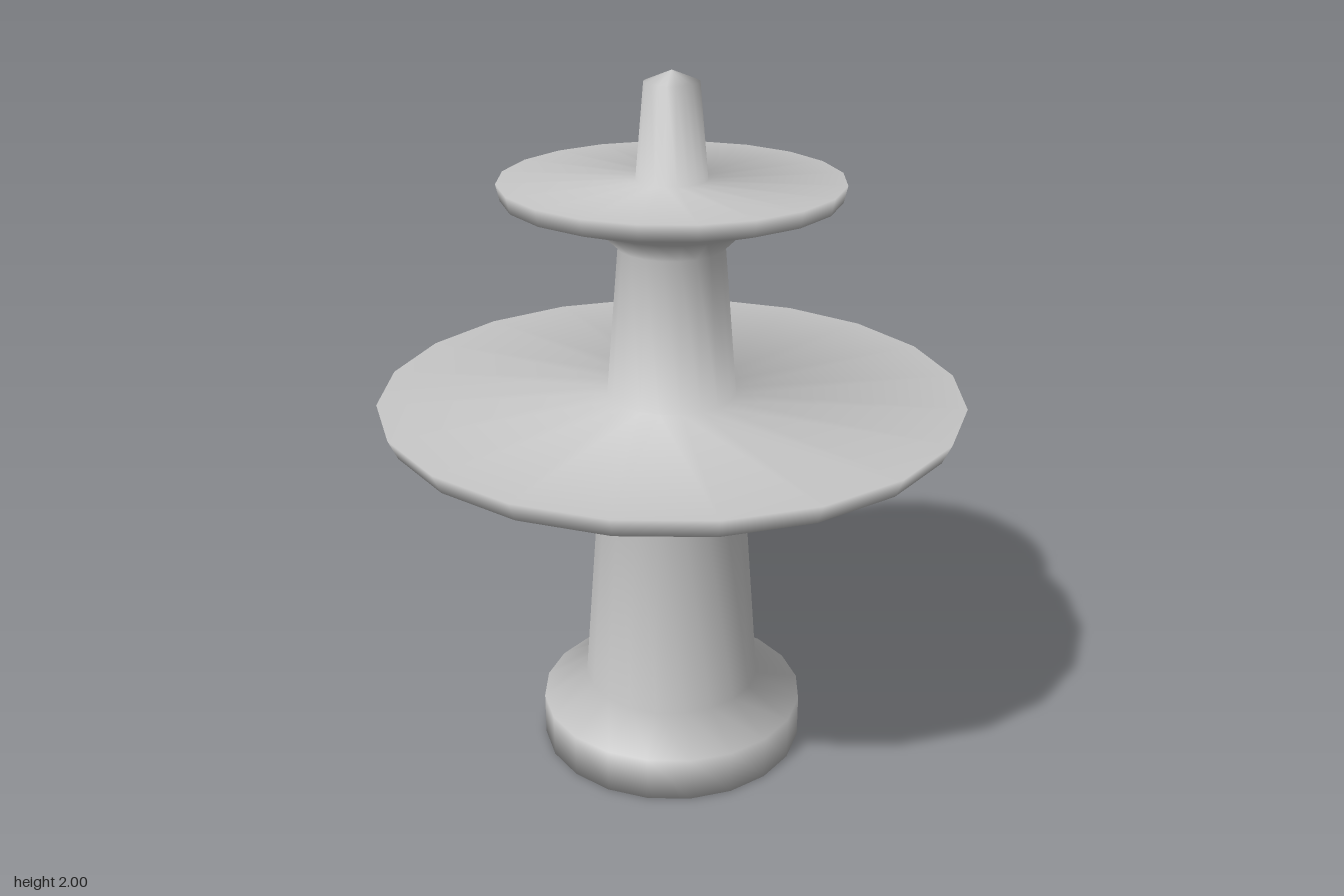
import * as THREE from 'three';

const SIDES = 20;

// Profile from the ground to the tip: [radius, height]
const PROFILE = [
  [0, 0], [0.39, 0], [0.39, 0.13], [0.26, 0.205],
  [0.212, 0.83], [0.29, 0.905], [0.795, 1.055], [0.82, 1.11], [0.183, 1.11],
  [0.148, 1.53], [0.21, 1.59], [0.457, 1.67], [0.467, 1.715], [0.098, 1.715],
  [0.075, 1.97], [0, 2],
];

// Each part covers a run of profile points, first to last
const PARTS = [
  ['base', 0, 3],
  ['lowerColumn', 3, 4],
  ['lowerBasin', 4, 8],
  ['middleColumn', 8, 9],
  ['upperBasin', 9, 13],
  ['finial', 13, 15],
];

export function createModel() {
  const group = new THREE.Group();
  group.name = 'tieredFountain';
  const stone = new THREE.MeshStandardMaterial({ color: 0xc4c4c4 });
  stone.name = 'grey stone';

  // One lathe, so the shading flows smoothly from part to part
  const lathe = new THREE.LatheGeometry(PROFILE.map(([r, y]) => new THREE.Vector2(r, y)), SIDES);
  const rows = PROFILE.length;

  for (const [name, first, last] of PARTS) {
    // Keep only the bands of the lathe that belong to this part
    const index = [];
    for (let side = 0; side < SIDES; side++) {
      for (let row = first; row < last; row++) {
        const a = side * rows + row;
        const b = a + rows;
        if (PROFILE[row][0] > 0) index.push(a, b, a + 1);
        if (PROFILE[row + 1][0] > 0) index.push(b + 1, a + 1, b);
      }
    }
    const geometry = lathe.clone();
    geometry.setIndex(index);
    const mesh = new THREE.Mesh(geometry.toNonIndexed(), stone);
    mesh.name = name;
    group.add(mesh);
  }
  return group;
}
